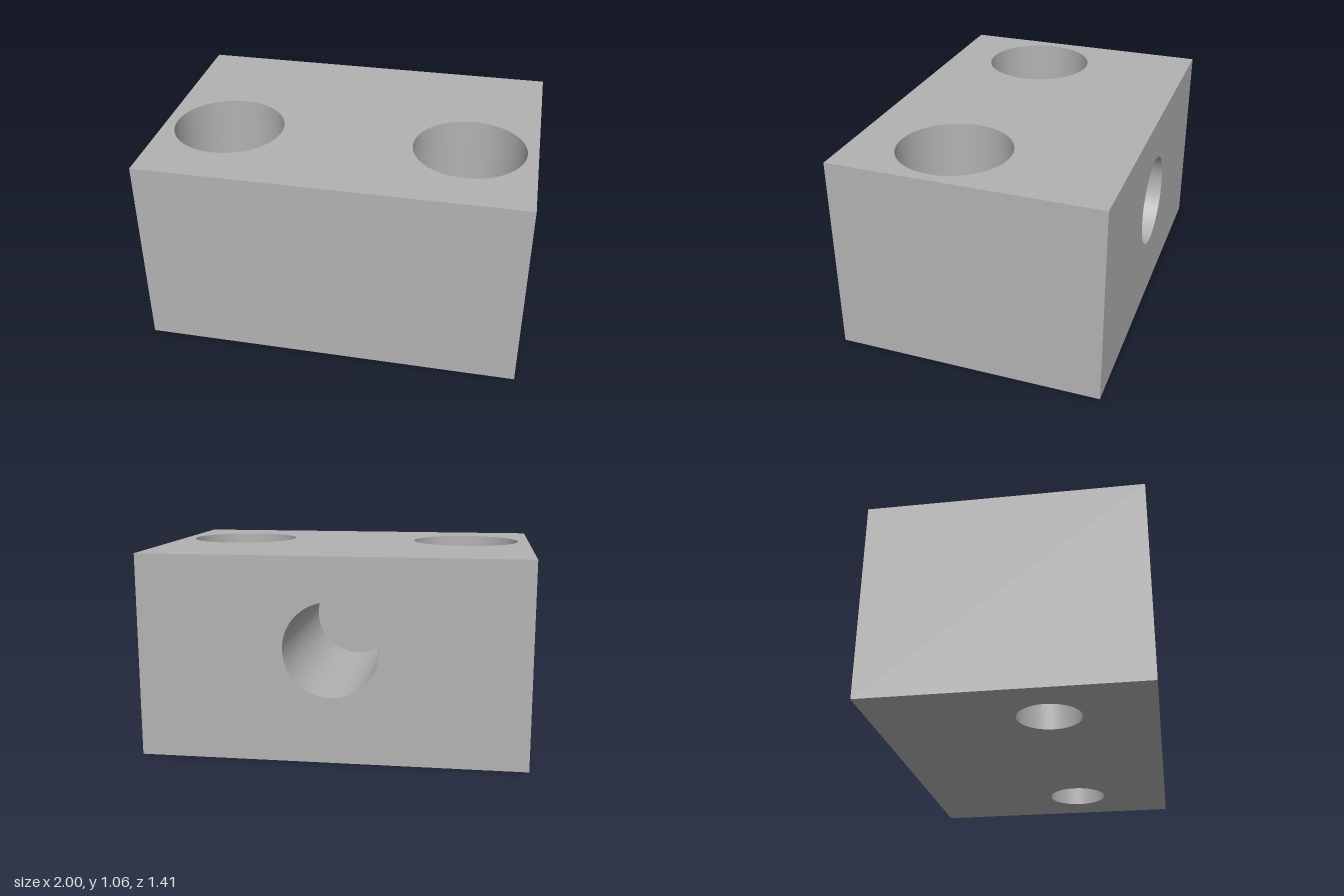
import * as THREE from 'three';

// Block size
const W = 2, H = 1.06, D = 1.41;
// Counterbored screw holes
const HOLE_X = 0.647, HOLE_Z = 0.176, HOLE_R = 0.163, BORE_R = 0.295, SHELF_Y = 0.47;
// Blind socket in the back
const SOCKET_Y = 0.588, SOCKET_R = 0.245, SOCKET_DEPTH = 1.06;
const SEGMENTS = 64;

export function createModel() {
  const group = new THREE.Group();
  const grey = new THREE.MeshStandardMaterial({ color: 0xb2b2b2, side: THREE.DoubleSide });
  grey.name = 'plain grey';

  const add = (name, geometry) => {
    const mesh = new THREE.Mesh(geometry, grey);
    mesh.name = name;
    group.add(mesh);
    return mesh;
  };

  // Flat rectangle, centred on the origin and facing +z, with round holes [x, y, r]
  const panel = (w, h, holes = []) => {
    const shape = new THREE.Shape([
      new THREE.Vector2(-w / 2, -h / 2), new THREE.Vector2(w / 2, -h / 2),
      new THREE.Vector2(w / 2, h / 2), new THREE.Vector2(-w / 2, h / 2),
    ]);
    for (const [x, y, r] of holes) {
      shape.holes.push(new THREE.Path().absarc(x, y, r, 0, Math.PI * 2, true));
    }
    return new THREE.ShapeGeometry(shape, SEGMENTS);
  };

  // Open tube between two heights
  const tube = (r, y0, y1) =>
    new THREE.CylinderGeometry(r, r, y1 - y0, SEGMENTS, 1, true).translate(0, (y0 + y1) / 2, 0);

  // Outer faces
  const pair = (r, sign) => [-1, 1].map((s) => [s * HOLE_X, sign * HOLE_Z, r]);
  add('topFace', panel(W, D, pair(BORE_R, -1)).rotateX(-Math.PI / 2).translate(0, H, 0));
  add('bottomFace', panel(W, D, pair(HOLE_R, 1)).rotateX(Math.PI / 2));
  add('frontFace', panel(W, H).translate(0, H / 2, D / 2));
  add('backFace', panel(W, H, [[0, SOCKET_Y - H / 2, SOCKET_R]])
    .rotateY(Math.PI).translate(0, H / 2, -D / 2));
  for (const [name, s] of [['leftFace', 1], ['rightFace', -1]]) {
    add(name, panel(D, H).rotateY(s * Math.PI / 2).translate(s * W / 2, H / 2, 0));
  }

  // Two vertical holes: wide bore, shelf and narrow through hole
  for (const [side, s] of [['left', 1], ['right', -1]]) {
    const parts = {
      Counterbore: tube(BORE_R, SHELF_Y, H),
      Shelf: new THREE.RingGeometry(HOLE_R, BORE_R, SEGMENTS)
        .rotateX(-Math.PI / 2).translate(0, SHELF_Y, 0),
      ThroughHole: tube(HOLE_R, 0, SHELF_Y),
    };
    for (const [part, geometry] of Object.entries(parts)) {
      add(side + part, geometry).position.set(s * HOLE_X, 0, HOLE_Z);
    }
  }

  // Horizontal socket with a flat end
  add('socketWall', tube(SOCKET_R, 0, SOCKET_DEPTH)
    .rotateX(Math.PI / 2).translate(0, SOCKET_Y, -D / 2));
  add('socketEnd', new THREE.CircleGeometry(SOCKET_R, SEGMENTS)
    .rotateY(Math.PI).translate(0, SOCKET_Y, -D / 2 + SOCKET_DEPTH));

  return group;
}
